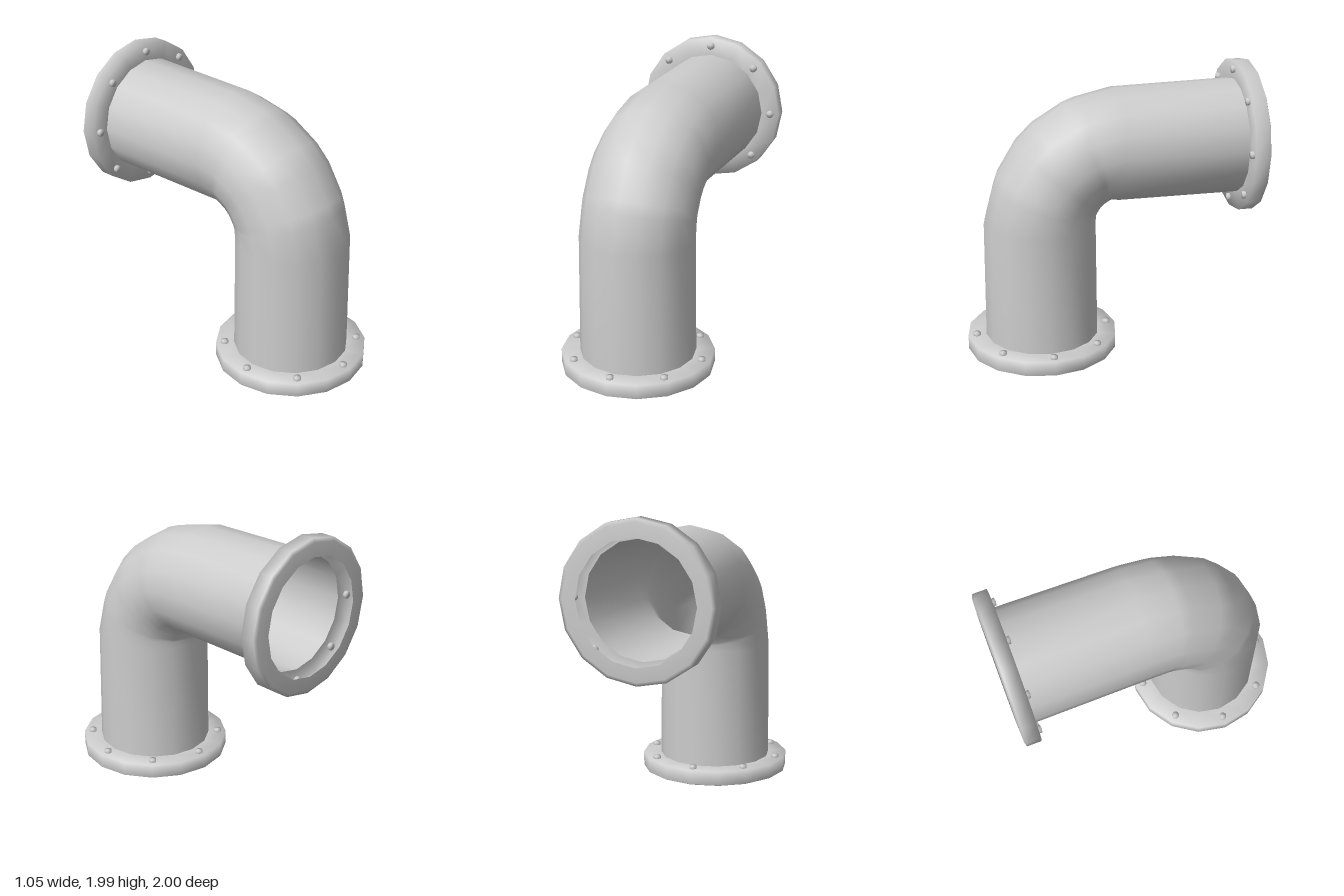
import * as THREE from 'three';

const SIDES = 16;
const AXIS_Z = 0.473; // axis of the upright leg
const AXIS_Y = 1.463; // axis of the level leg
const BEND_Z = -0.05, BEND_Y = 0.945; // centre of the bend
const PLATE = 0.113; // flange depth

const material = new THREE.MeshStandardMaterial({ color: 0xcccccc, side: THREE.DoubleSide });

// Open elbow pipe swept through rings of [z, y, bend angle, in-plane radius, half width]
function pipeGeometry() {
  const rings = [[AXIS_Z, PLATE, 0, 0.397, 0.397], [AXIS_Z, BEND_Y, 0, 0.388, 0.388]];
  for (const deg of [17, 23, 39.5, 50.5, 67, 73]) {
    const a = THREE.MathUtils.degToRad(deg);
    const mid = 0.511;
    rings.push([BEND_Z + mid * Math.cos(a), BEND_Y + mid * Math.sin(a), a, 0.37, 0.385]);
  }
  rings.push([BEND_Z, AXIS_Y - 0.005, Math.PI / 2, 0.388, 0.388]);
  rings.push([-1 + PLATE, AXIS_Y, Math.PI / 2, 0.397, 0.397]);

  const positions = [], index = [];
  rings.forEach(([z, y, a, r, w], i) => {
    for (let j = 0; j < SIDES; j++) {
      const t = (j / SIDES) * Math.PI * 2;
      const out = r * Math.cos(t);
      positions.push(w * Math.sin(t), y + out * Math.sin(a), z + out * Math.cos(a));
      if (i === rings.length - 1) continue;
      const p = i * SIDES + j, q = i * SIDES + ((j + 1) % SIDES);
      index.push(p, q, p + SIDES, q, q + SIDES, p + SIDES);
    }
  });
  const geometry = new THREE.BufferGeometry();
  geometry.setAttribute('position', new THREE.Float32BufferAttribute(positions, 3));
  geometry.setIndex(index);
  geometry.computeVertexNormals();
  return geometry;
}

function lathe(points, segments, name) {
  const profile = points.map(([x, y]) => new THREE.Vector2(x, y));
  const mesh = new THREE.Mesh(new THREE.LatheGeometry(profile, segments), material);
  mesh.name = name;
  return mesh;
}

// Hollow flange shell with a ring of eight bolts through its plate
function createFlange(name) {
  const flange = new THREE.Group();
  flange.name = name;
  flange.add(lathe([[0.405, 0], [0.5, 0.003], [0.525, 0.014], [0.525, PLATE], [0.39, PLATE]], SIDES, 'flangeShell'));
  for (let i = 0; i < 8; i++) {
    const a = (i / 8) * Math.PI * 2;
    const bolt = lathe([[0, -0.022], [0.026, -0.02], [0.026, 0.02], [0, 0.024]], 10, 'bolt');
    bolt.position.set(0.464 * Math.sin(a), PLATE, 0.464 * Math.cos(a));
    flange.add(bolt);
  }
  return flange;
}

export function createModel() {
  const model = new THREE.Group();
  model.name = 'pipeElbow';

  const pipe = new THREE.Mesh(pipeGeometry(), material);
  pipe.name = 'elbowPipe';
  model.add(pipe);

  const bottom = createFlange('bottomFlange');
  bottom.position.set(0, 0, AXIS_Z);
  model.add(bottom);

  const back = createFlange('backFlange');
  back.rotation.x = Math.PI / 2;
  back.position.set(0, AXIS_Y, -1);
  model.add(back);

  return model;
}
